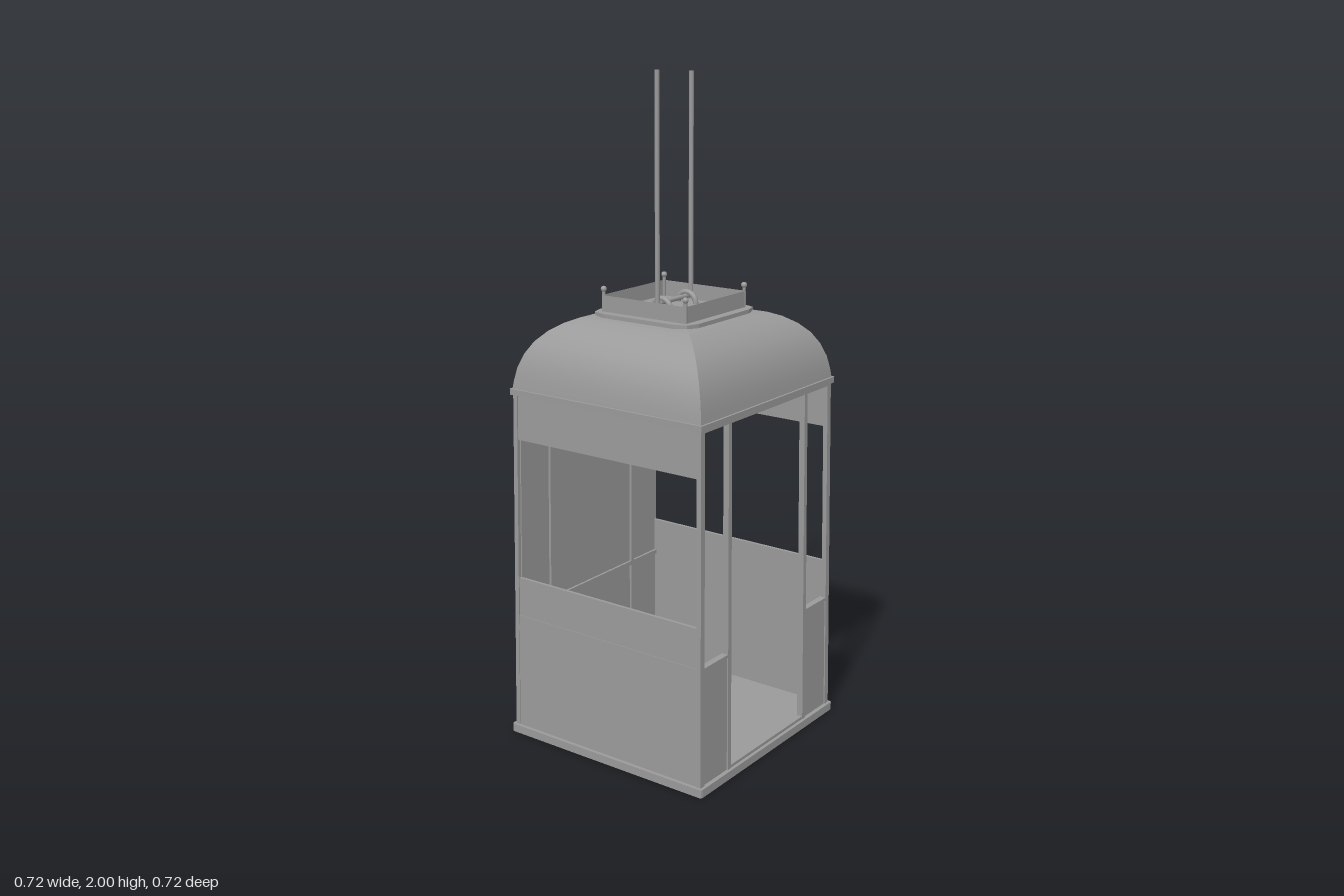
import * as THREE from 'three';
import { toCreasedNormals } from 'three/addons/utils/BufferGeometryUtils.js';

const material = new THREE.MeshStandardMaterial({ color: 0x9a9a9a, side: THREE.DoubleSide });

export function createModel() {
  const model = new THREE.Group();
  const add = (name, geometry, x = 0, y = 0, z = 0) => {
    const mesh = new THREE.Mesh(geometry, material);
    mesh.name = name;
    mesh.position.set(x, y, z);
    model.add(mesh);
    return mesh;
  };

  // Box given by its limits, narrowed slightly towards the roof
  const part = (name, x0, x1, y0, y1, z0, z1) => {
    const g = new THREE.BoxGeometry(x1 - x0, y1 - y0, z1 - z0);
    g.translate((x0 + x1) / 2, (y0 + y1) / 2, (z0 + z1) / 2);
    const p = g.attributes.position;
    for (let i = 0; i < p.count; i++) {
      const k = 1 - 0.034 * p.getY(i);
      p.setX(i, p.getX(i) * k);
      p.setZ(i, p.getZ(i) * k);
    }
    g.computeVertexNormals();
    return add(name, g);
  };

  // Square plate with cut corners; mid is how far out each corner's middle lies
  const plate = (name, half, cut, mid, y, height) => {
    const a = half - cut;
    const corner = [[half, a], [mid, mid], [a, half]];
    const points = [];
    for (let q = 0; q < 4; q++) {
      for (const [px, py] of corner) {
        points.push(new THREE.Vector2(px, py).rotateAround(new THREE.Vector2(), q * Math.PI / 2));
      }
    }
    const g = new THREE.ExtrudeGeometry(new THREE.Shape(points), { depth: height, bevelEnabled: false });
    g.rotateX(-Math.PI / 2);
    return add(name, g, 0, y, 0);
  };

  const rod = (name, from, to, r) => {
    const a = new THREE.Vector3(...from), b = new THREE.Vector3(...to);
    const mesh = add(name, new THREE.CylinderGeometry(r, r, a.distanceTo(b), 10));
    mesh.position.copy(a).lerp(b, 0.5);
    mesh.quaternion.setFromUnitVectors(new THREE.Vector3(0, 1, 0), b.sub(a).normalize());
    return mesh;
  };

  const H = 0.348, top = 1.08, seam = 0.385;

  // Floor slab
  plate('base', 0.358, 0.008, 0.356, 0, 0.025);

  for (const s of [-1, 1]) {
    const side = (name, a, b, y0, y1, z0, z1) =>
      part(name, Math.min(s * a, s * b), Math.max(s * a, s * b), y0, y1, z0, z1);

    // Side walls with a wide window opening
    side('sideLowerPanel', H - 0.012, H - 0.001, 0.02, seam, -H + 0.004, H - 0.004);
    side('sideSillPanel', H - 0.013, H - 0.003, seam, 0.505, -H + 0.004, H - 0.004);
    side('sideHeader', H - 0.013, H - 0.003, 0.937, top, -H + 0.004, H - 0.004);

    // Corner posts
    side('frontCornerPost', H - 0.018, H + 0.001, 0.02, top, H - 0.014, H + 0.001);
    side('backCornerPost', H - 0.018, H + 0.001, 0.02, top, -H - 0.001, -H + 0.014);

    // Front panels, sills and door posts
    side('frontLowerPanel', 0.2, H - 0.004, 0.02, seam, H - 0.012, H - 0.003);
    side('frontSill', 0.2, H - 0.015, seam - 0.01, seam, H - 0.02, H);
    side('doorPost', 0.196, 0.212, 0.02, top, H - 0.018, H + 0.001);

    // Battens on both faces of the back wall
    side('backBatten', 0.197, 0.211, 0.02, top, -H, -H + 0.026);
  }

  // Recessed back wall, its cross rail, and the door sill and lintel
  part('backWall', -H + 0.01, H - 0.01, 0.02, top, -H + 0.008, -H + 0.018);
  part('backRail', -H + 0.01, H - 0.01, seam, seam + 0.014, -H + 0.0005, -H + 0.0255);
  part('doorSill', -0.2, 0.2, 0.02, 0.034, H - 0.014, H);
  part('frontLintel', -H + 0.004, H - 0.004, 1.065, top, H - 0.014, H);

  // Eaves moulding
  for (const s of [-1, 1]) {
    add('eavesSide', new THREE.BoxGeometry(0.012, 0.018, 0.684), s * 0.338, 1.082, 0);
    add('eavesEnd', new THREE.BoxGeometry(0.684, 0.018, 0.012), 0, 1.082, s * 0.338);
  }

  // Domed roof on a square plan with mitred corners
  const profile = [
    [0.338, 1.085], [0.334, 1.115], [0.326, 1.155], [0.311, 1.195], [0.29, 1.23],
    [0.262, 1.259], [0.228, 1.282], [0.195, 1.296], [0.16, 1.303],
  ].map(([r, y]) => new THREE.Vector2(r * Math.SQRT2, y));
  add('roof', toCreasedNormals(new THREE.LatheGeometry(profile, 4, Math.PI / 4), 0.4));

  // Roof plate and raised open curb of thin sheets, with a capped pin at each corner
  plate('roofPlate', 0.178, 0.053, 0.165, 1.3, 0.012);
  for (let q = 0; q < 4; q++) {
    const sheet = new THREE.PlaneGeometry(0.3, 0.05);
    sheet.translate(0, 1.335, 0.15).rotateY(q * Math.PI / 2);
    add('curbSheet', sheet);
  }
  for (const s of [-1, 1]) {
    for (const t of [-1, 1]) {
      rod('cornerPin', [s * 0.146, 1.312, t * 0.146], [s * 0.146, 1.378, t * 0.146], 0.005);
      add('pinCap', new THREE.SphereGeometry(0.009, 12, 8), s * 0.146, 1.378, t * 0.146);
    }
  }

  // Hanger: mounting plate, two hoops, cross bar and suspension rods
  plate('hangerPlate', 0.103, 0.028, 0.089, 1.312, 0.006);
  for (const s of [-1, 1]) {
    const hoop = new THREE.TorusGeometry(0.032, 0.008, 10, 24, Math.PI);
    hoop.rotateY(Math.PI / 2);
    add('hoop', hoop, s * 0.062, 1.322, 0);
    rod('suspensionRod', [s * 0.082, 1.338, 0], [s * 0.082, s < 0 ? 2 : 1.99, 0], 0.007);
  }
  rod('crossBar', [-0.086, 1.342, 0], [0.086, 1.342, 0], 0.007);

  // Control lever on its half-round quadrant
  const halfDisc = (name, r, width) => {
    const shape = new THREE.Shape().absarc(0, 0, r, 0, Math.PI);
    const g = new THREE.ExtrudeGeometry(shape, { depth: width, bevelEnabled: false, curveSegments: 20 });
    g.translate(0, 0, -width / 2).rotateY(Math.PI / 2);
    add(name, toCreasedNormals(g, 0.5), -0.245, 0.025, 0.015);
  };
  halfDisc('leverQuadrant', 0.108, 0.03);
  halfDisc('leverHousing', 0.09, 0.07);
  rod('leverHandle', [-0.245, 0.06, 0.0], [-0.245, 0.35, -0.128], 0.007);
  rod('leverGrip', [-0.245, 0.29, -0.102], [-0.245, 0.37, -0.137], 0.011);

  return model;
}
